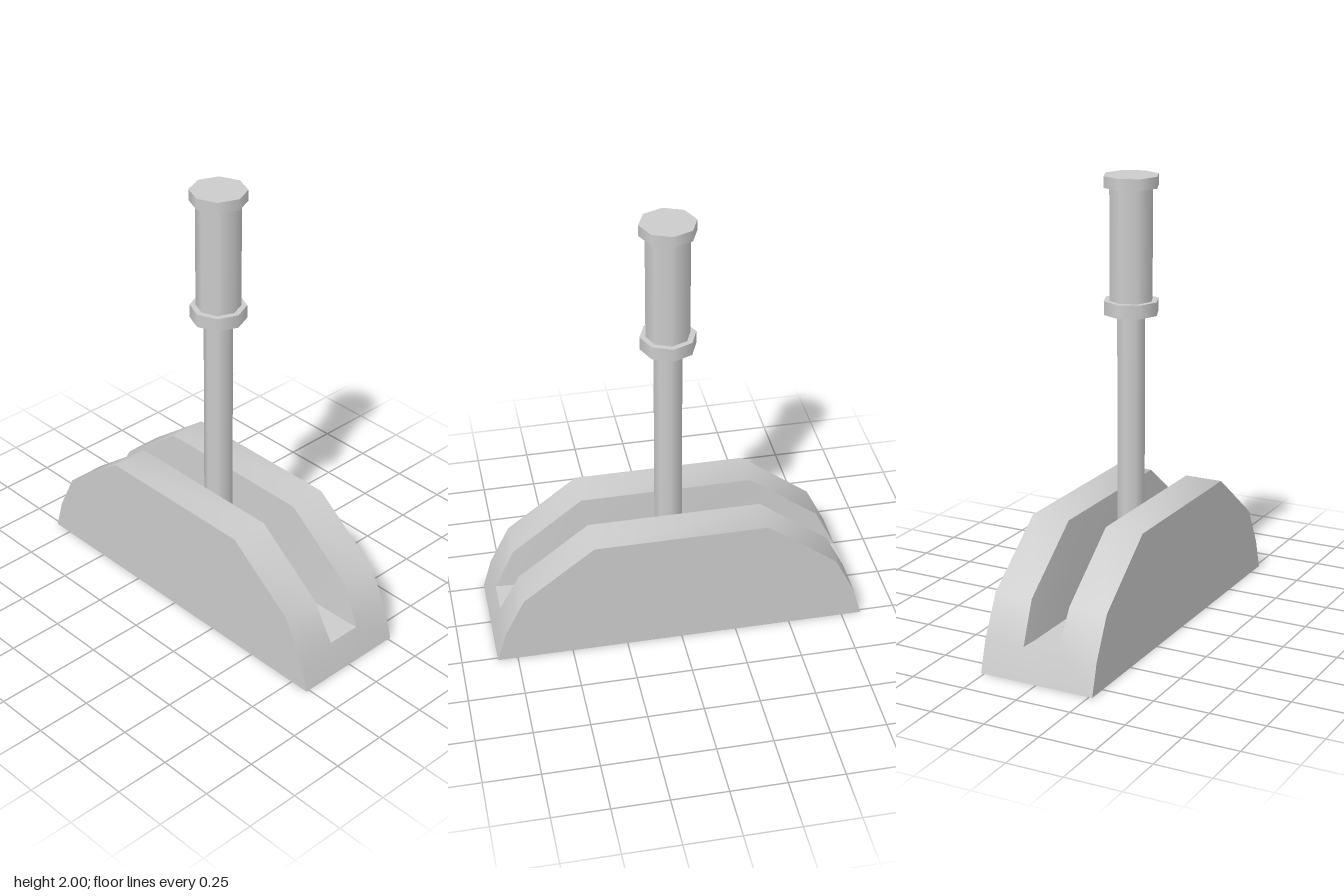
import * as THREE from 'three';
import { toCreasedNormals } from 'three/addons/utils/BufferGeometryUtils.js';

const material = new THREE.MeshStandardMaterial({ color: 0xcccccc });

// Slotted base: U-shaped cross-sections lofted along x
function createBase() {
  const depth = 0.265;
  // x, top height, slot floor height, slot half-width at rim, slot half-width at floor
  const half = [
    [0.84, 0, 0, 0.08, 0.08],
    [0.8, 0.14, 0.14, 0.08, 0.08],
    [0.71, 0.32, 0.14, 0.09, 0.074],
    [0.39, 0.565, 0.14, 0.09, 0.07],
  ];
  const stations = [
    ...half.map(([x, ...rest]) => [-x, ...rest]),
    ...half.slice().reverse(),
  ];
  const rings = stations.map(([x, top, floor, rim, foot]) => {
    const side = [[0, depth], [top, depth], [top, rim], [floor, foot]];
    const mirrored = side.slice().reverse().map(([y, z]) => [y, -z]);
    return [...side, ...mirrored].map(([y, z]) => new THREE.Vector3(x, y, z));
  });

  const positions = [];
  const addTriangle = (a, b, c) => {
    if (new THREE.Triangle(a, b, c).getArea() < 1e-6) return; // skip collapsed corners
    for (const p of [a, b, c]) positions.push(p.x, p.y, p.z);
  };
  for (let i = 0; i < rings.length - 1; i++) {
    const n = rings[i].length;
    for (let j = 0; j < n; j++) {
      const k = (j + 1) % n;
      const a = rings[i][j], b = rings[i][k], c = rings[i + 1][k], d = rings[i + 1][j];
      addTriangle(a, d, c);
      addTriangle(a, c, b);
    }
  }
  const geometry = new THREE.BufferGeometry();
  geometry.setAttribute('position', new THREE.Float32BufferAttribute(positions, 3));
  const mesh = new THREE.Mesh(toCreasedNormals(geometry, 0.7), material);
  mesh.name = 'slottedBase';
  return mesh;
}

// Eight-sided upright piece with smooth sides
function createRound(name, radius, bottom, top) {
  const mesh = new THREE.Mesh(
    new THREE.CylinderGeometry(radius, radius, top - bottom, 8), material);
  mesh.position.y = (bottom + top) / 2;
  mesh.name = name;
  return mesh;
}

export function createModel() {
  const model = new THREE.Group();
  model.name = 'leverSwitch';

  // Lever standing in the slot
  const lever = new THREE.Group();
  lever.name = 'lever';
  lever.position.set(0.01, 0, 0.003);
  lever.add(
    createRound('rod', 0.063, 0.13, 1.42),
    createRound('lowerCollar', 0.123, 1.4, 1.46),
    createRound('grip', 0.097, 1.45, 1.96),
    createRound('topCap', 0.123, 1.95, 2),
  );

  model.add(createBase(), lever);
  return model;
}
